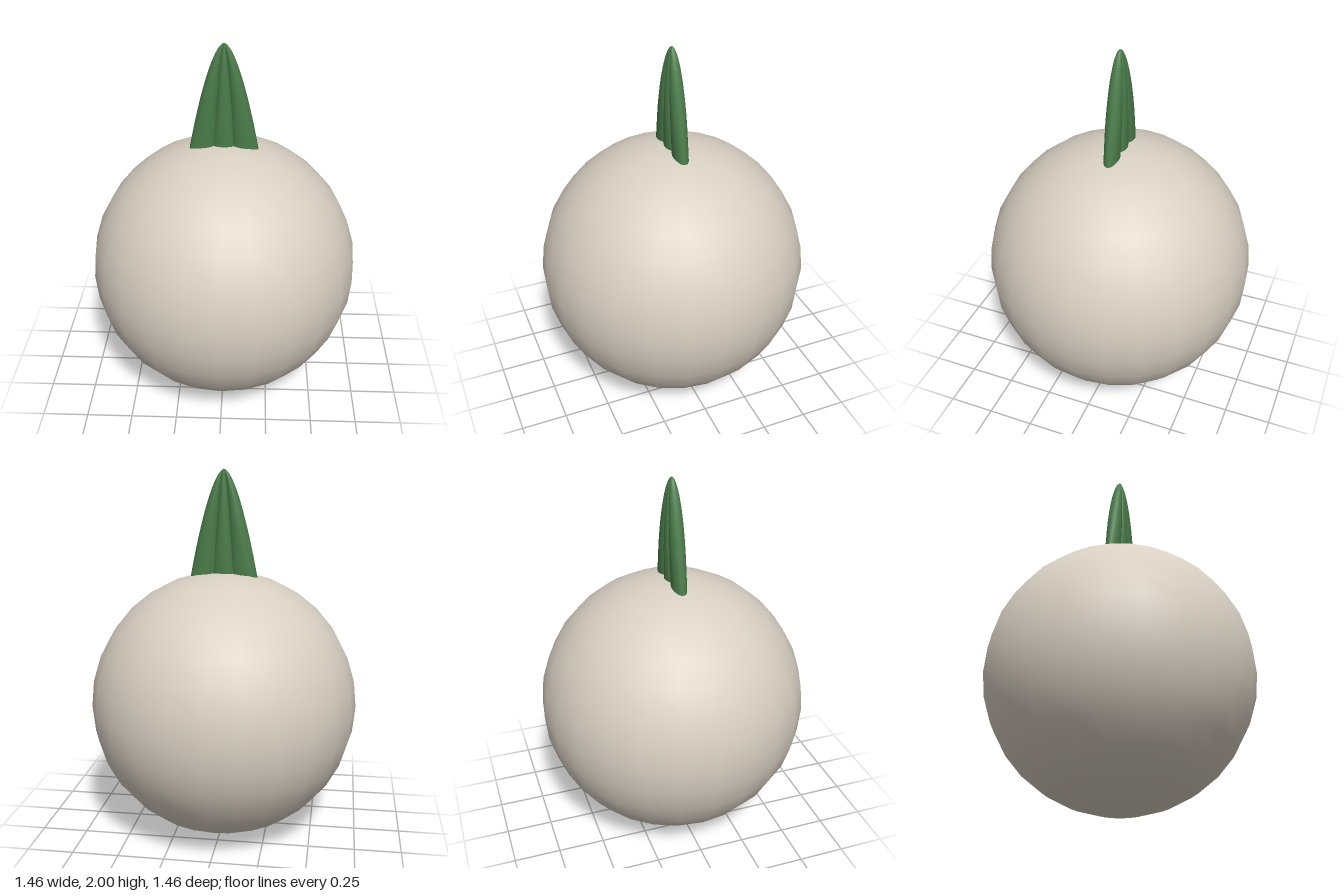
import * as THREE from 'three';
import { mergeVertices } from 'three/addons/utils/BufferGeometryUtils.js';

const TIP = 2.0;      // height where the leaf lobes meet
const LENGTH = 0.56;  // visible leaf length

// One leaf lobe: an elliptical tube that narrows and leans in to the shared tip.
function lobeGeometry(offset, halfWidth, depth) {
  const geo = new THREE.CylinderGeometry(1, 1, 1, 24, 20, true);
  geo.deleteAttribute('uv');
  geo.deleteAttribute('normal');
  const p = geo.attributes.position;
  for (let i = 0; i < p.count; i++) {
    const r = 0.5 - p.getY(i);              // 0 at the tip, 1 at the buried root
    const t = Math.max(0.0001, r * r * 1.12);
    const spread = Math.pow(t, 0.6);
    const u = Math.min(t / 0.7, 1);
    const thick = depth * Math.sqrt(1 - (1 - u) ** 2) * (1 - 0.18 * Math.max(0, t - 0.7));
    p.setXYZ(i, spread * (offset + halfWidth * p.getX(i)), TIP - LENGTH * t, thick * p.getZ(i));
  }
  const merged = mergeVertices(geo, 1e-5);
  merged.computeVertexNormals();
  return merged;
}

export function createModel() {
  const model = new THREE.Group();
  model.name = 'bulb';
  const cream = new THREE.MeshStandardMaterial({ color: 0xd9d0c3 });
  cream.name = 'cream';
  const green = new THREE.MeshStandardMaterial({ color: 0x4a7c4a });
  green.name = 'leaf green';

  // Round body
  const body = new THREE.Mesh(new THREE.SphereGeometry(0.729, 24, 16), cream);
  body.name = 'body';
  body.position.y = 0.73;
  model.add(body);

  // Three-lobed leaf on top
  const leaf = new THREE.Group();
  leaf.name = 'leaf';
  const lobes = [
    ['rightLobe', -0.112, 0.068, 0.04],
    ['middleLobe', 0, 0.06, 0.042],
    ['leftLobe', 0.112, 0.068, 0.04],
  ];
  for (const [name, offset, halfWidth, depth] of lobes) {
    const lobe = new THREE.Mesh(lobeGeometry(offset, halfWidth, depth), green);
    lobe.name = name;
    leaf.add(lobe);
  }
  model.add(leaf);
  return model;
}
